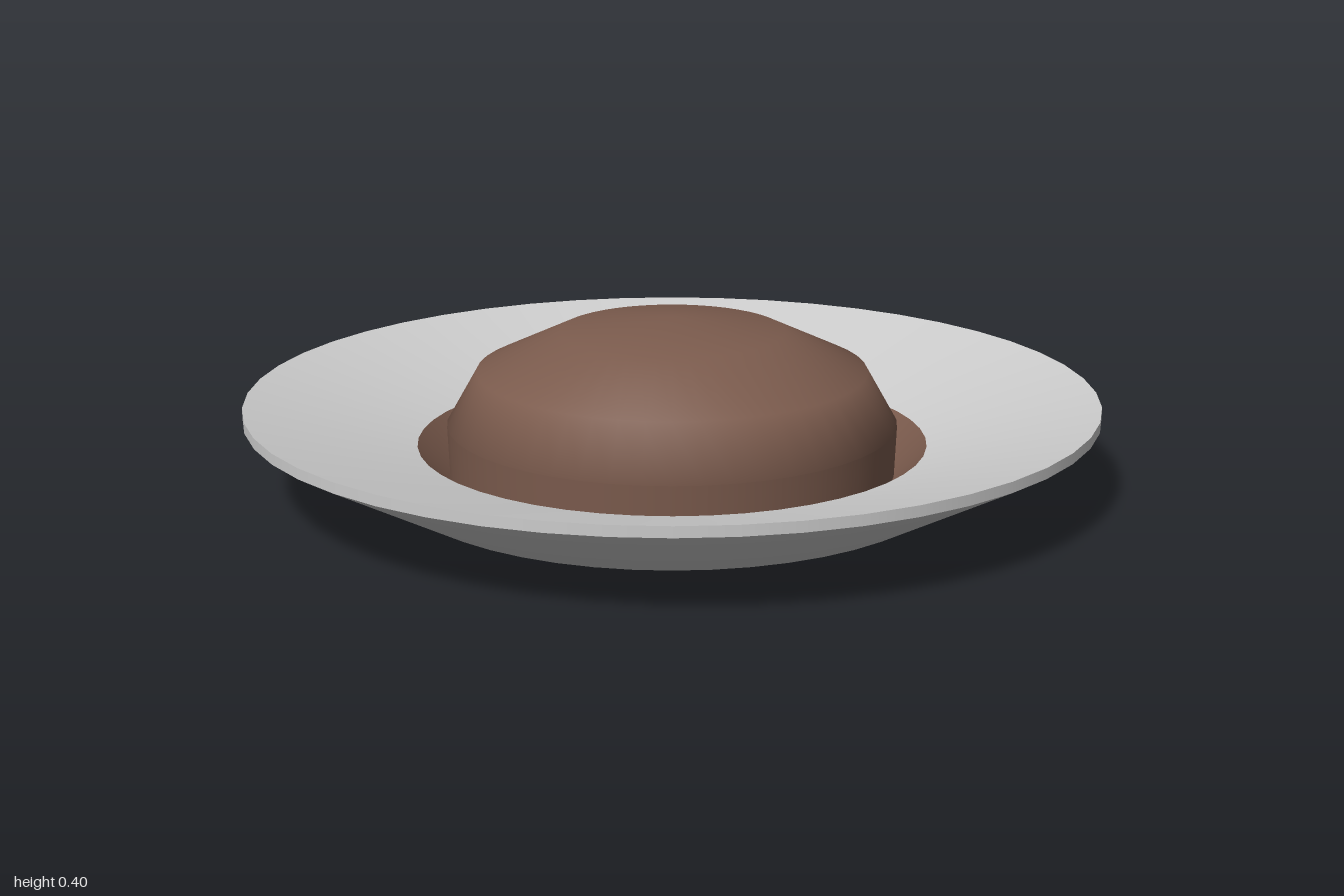
import * as THREE from 'three';

const SEGMENTS = 48;

export function createModel() {
  const group = new THREE.Group();
  const plateGrey = new THREE.MeshStandardMaterial({ name: 'plateGrey', color: 0xcccccc });
  const foodBrown = new THREE.MeshStandardMaterial({ name: 'foodBrown', color: 0x7b5b4d });

  const add = (name, geometry, material) => {
    const mesh = new THREE.Mesh(geometry, material);
    mesh.name = name;
    group.add(mesh);
    return mesh;
  };
  const turn = (name, profile, material) => add(
    name,
    new THREE.LatheGeometry(profile.map(([r, y]) => new THREE.Vector2(r, y)), SEGMENTS),
    material,
  );

  // Dish: flat foot with flared underside, thin rim and sloping upper face
  turn('dishUnderside', [[0, 0], [0.65, 0], [1, 0.19]], plateGrey);
  turn('dishRim', [[1, 0.19], [1, 0.215]], plateGrey);
  turn('dishUpperFace', [[1, 0.215], [0.6, 0.105]], plateGrey);

  // Brown well sunk into the dish
  turn('well', [[0.6, 0.105], [0.52, 0.025]], foodBrown);

  // Domed mound rising from the well
  const dome = new THREE.SphereGeometry(0.53, SEGMENTS, 3, 0, Math.PI * 2, 0, Math.PI / 2);
  dome.scale(1, 0.25 / 0.53, 1);
  add('moundDome', dome, foodBrown).position.y = 0.15;
  turn('moundSide', [[0.525, 0.025], [0.53, 0.15]], foodBrown);

  return group;
}
